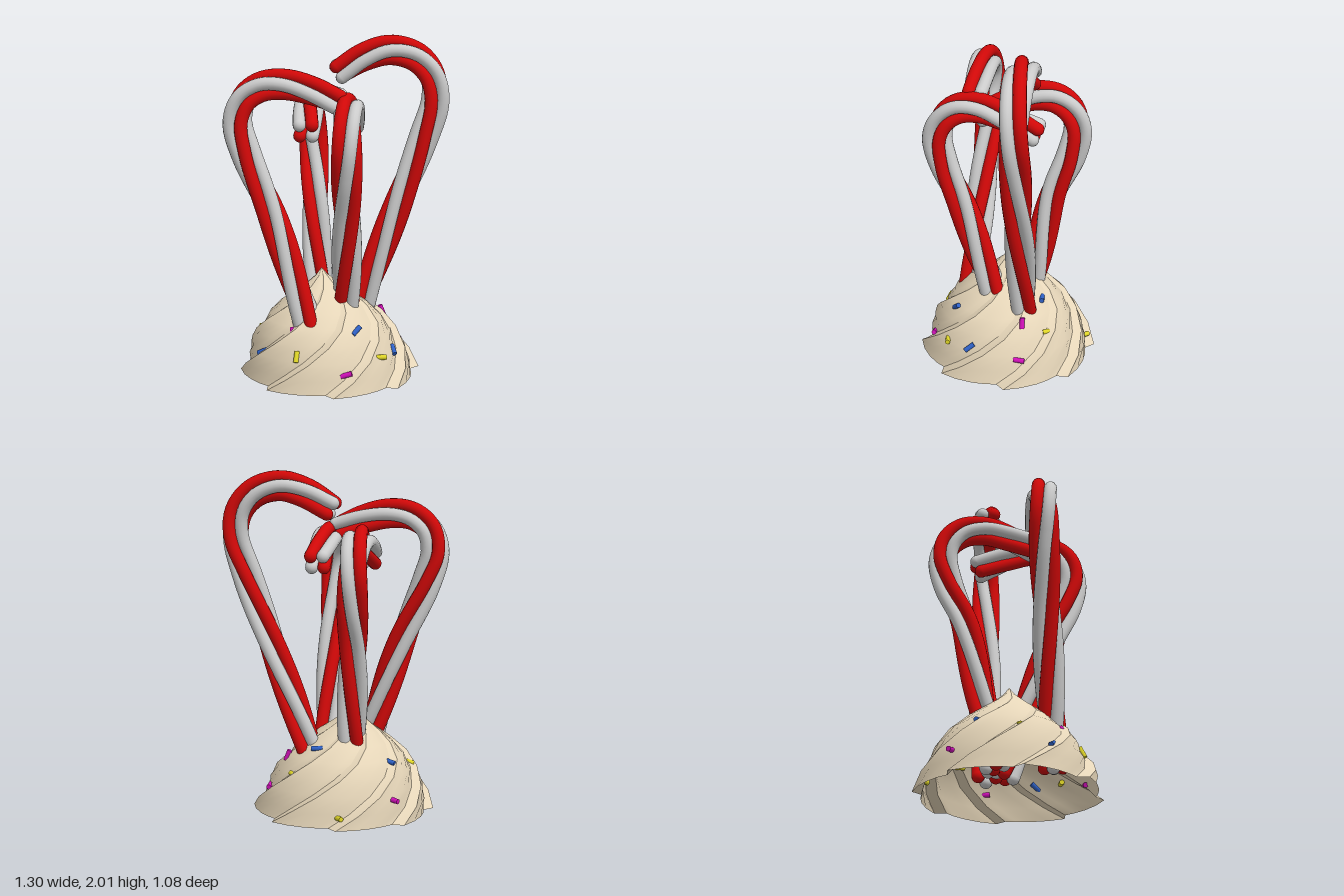
import * as THREE from 'three';
import { mergeGeometries } from 'three/addons/utils/BufferGeometryUtils.js';

const mat = (color, side = THREE.FrontSide) => new THREE.MeshStandardMaterial({ color, side });
const white = mat(0xcccccc), red = mat(0xd00808), cream = mat(0xe5d5b8, THREE.DoubleSide);
const sprinkleColors = { yellow: mat(0xe0d628), blue: mat(0x2f62c8), pink: mat(0xd010b8) };
const UP = new THREE.Vector3(0, 1, 0);

// Cream swirl: a dome of stepped petals that wind upwards
const PROFILE = [[0.51, 0], [0.488, 0.08], [0.45, 0.17], [0.4, 0.26], [0.34, 0.34],
  [0.255, 0.415], [0.175, 0.475], [0.1, 0.53], [0.035, 0.585], [0, 0.63]];
const PETALS = 8, PETAL_ANGLE = 2 * Math.PI / PETALS, TWIST = 3, PHASE = -0.1, STEP = 0.12;

function profileRadius(y) {
  for (let i = 1; i < PROFILE.length; i++) {
    const [r0, y0] = PROFILE[i - 1], [r1, y1] = PROFILE[i];
    if (y <= y1) return r0 + (r1 - r0) * (y - y0) / (y1 - y0);
  }
  return 0;
}

// Point on the cream; turn counts petals round the dome, f runs from a petal's low edge to its high edge
function creamPoint(turn, f, y) {
  const angle = turn * PETAL_ANGLE + PHASE - TWIST * y;
  const r = profileRadius(y) * (1 + (0.06 - 0.03 * y) * (2 * f - 1));
  return new THREE.Vector3(-0.05 - 0.08 * y + r * Math.cos(angle), y, r * Math.sin(angle));
}

// One strip up the dome through columns of [turn, f], from high turn to low
function creamStrip(columns) {
  const rows = PROFILE.length - 1, n = columns.length - 1;
  const g = new THREE.PlaneGeometry(1, 1, n, rows);
  const p = g.attributes.position;
  for (let i = 0; i < p.count; i++) {
    const y = PROFILE[Math.round((p.getY(i) + 0.5) * rows)][1];
    const [turn, f] = columns[Math.round((p.getX(i) + 0.5) * n)];
    const v = creamPoint(turn, f, y);
    p.setXYZ(i, v.x, v.y, v.z);
  }
  g.computeVertexNormals();
  return g;
}

function creamSwirl() {
  const strips = [];
  for (let k = 0; k < PETALS; k++) {
    // Broad petal face, then the short step down to the next petal
    strips.push(creamStrip([1, 0.75, 0.5, 0.3, STEP].map((f) => [k + f, f])));
    strips.push(creamStrip([[k + 1 + STEP, STEP], [k + 1, 1]]));
  }
  const mesh = new THREE.Mesh(mergeGeometries(strips), cream);
  mesh.name = 'creamSwirl';
  return mesh;
}

// Cane: four strands wound round a hooked path, listed from tip to foot
const STRAND_R = 0.038, OFFSET = 0.051, TURN = Math.PI * 1.78;

// hand is 1 or -1 and sets which way the strands wind
function cane(name, out, path, [sideTip, sideFoot], hand) {
  const group = new THREE.Group();
  group.name = name;
  const normal = new THREE.Vector3().crossVectors(out, UP);
  const curve = new THREE.CatmullRomCurve3(path.map(([d, y]) => {
    const s = y > 1.4 ? sideTip : sideFoot + (sideTip - sideFoot) * (y - 0.12) / 1.28;
    return out.clone().multiplyScalar(d).addScaledVector(normal, s).setY(y);
  }));
  const N = 48;
  for (let k = 0; k < 4; k++) {
    const pts = [];
    for (let i = 0; i <= N; i++) {
      const u = i / N;
      const a = Math.PI / 4 + k * Math.PI / 2 - u * TURN;
      const tangent = curve.getTangentAt(u);
      const outer = new THREE.Vector3().crossVectors(normal, tangent).normalize();
      const b = new THREE.Vector3().crossVectors(tangent, outer);
      pts.push(curve.getPointAt(u)
        .addScaledVector(outer, OFFSET * Math.cos(a))
        .addScaledVector(b, hand * OFFSET * Math.sin(a)));
    }
    const parts = [new THREE.TubeGeometry(new THREE.CatmullRomCurve3(pts), 72, STRAND_R, 14)];
    for (const end of [pts[0], pts[N]]) {
      parts.push(new THREE.SphereGeometry(STRAND_R, 14, 10).translate(end.x, end.y, end.z));
    }
    const isRed = k % 2 === 0;
    const mesh = new THREE.Mesh(mergeGeometries(parts), isRed ? red : white);
    mesh.name = isRed ? 'redStrand' : 'whiteStrand';
    group.add(mesh);
  }
  return group;
}

// Sprinkles: colour, position on the cream, lying direction
const SPRINKLES = [
  ['yellow', [-0.11, 0.06, -0.5], [0.7, 0, 0.7]],
  ['yellow', [0.22, 0.25, -0.3], [0.5, 0.1, 0.85]],
  ['blue', [0.08, 0.4, -0.25], [1, 0, -0.1]],
  ['pink', [-0.41, 0.14, -0.33], [0.85, 0.1, 0.5]],
  ['blue', [-0.37, 0.33, -0.19], [0.95, 0.2, 0.3]],
  ['yellow', [-0.43, 0.28, 0.04], [1, 0.3, -0.15]],
  ['blue', [-0.47, 0.17, 0.24], [0.8, 0.4, 0.3]],
  ['pink', [-0.255, 0.31, 0.3], [0, 1, -0.8]],
  ['yellow', [-0.22, 0.2, 0.4], [0.1, 1, -0.5]],
  ['pink', [0.08, 0.11, 0.47], [0.95, 0.3, 0]],
  ['yellow', [0.28, 0.18, 0.33], [1, 0, -0.1]],
  ['blue', [0.35, 0.18, 0.18], [0.3, -0.6, 0.8]],
  ['blue', [0.15, 0.33, 0.33], [0.6, 0.6, -0.5]],
  ['pink', [0.38, 0.33, -0.18], [-0.4, 1, 0]],
  ['pink', [0.44, 0.14, -0.15], [0, 0.1, 1]],
];

function sprinkle([color, [x, y, z], dir]) {
  const mesh = new THREE.Mesh(new THREE.CylinderGeometry(0.015, 0.015, 0.066, 10), sprinkleColors[color]);
  mesh.name = color + 'Sprinkle';
  const angle = Math.atan2(z, x + 0.05 + 0.08 * y);
  const turn = (angle - PHASE + TWIST * y) / PETAL_ANGLE;
  mesh.position.copy(creamPoint(turn, turn - Math.floor(turn), y));
  mesh.quaternion.setFromUnitVectors(UP, new THREE.Vector3(...dir).normalize());
  return mesh;
}

export function createModel() {
  const model = new THREE.Group();
  model.name = 'caneDessert';
  model.add(creamSwirl());

  const V = (x, z) => new THREE.Vector3(x, 0, z);
  // Each path holds [distance outwards, height]
  model.add(cane('tallCane', V(1, 0), [[0, 1.79], [0.15, 1.878], [0.3, 1.918], [0.45, 1.878],
    [0.545, 1.77], [0.565, 1.62], [0.5, 1.4], [0.355, 1.0], [0.17, 0.48], [0.07, 0.15]], [-0.125, -0.12], 1));
  model.add(cane('frontLeaningCane', V(-1, 0), [[-0.01, 1.655], [0.14, 1.715], [0.3, 1.75], [0.43, 1.735],
    [0.53, 1.66], [0.567, 1.53], [0.52, 1.35], [0.375, 1.0], [0.195, 0.45], [0.1, 0.15]], [-0.18, -0.25], -1));
  const shortHook = [[-0.18, 1.485], [0, 1.565], [0.14, 1.613], [0.27, 1.603], [0.36, 1.53],
    [0.395, 1.42], [0.36, 1.25], [0.26, 1.0]];
  model.add(cane('frontCane', V(0, 1), [...shortHook, [0.08, 0.45], [-0.02, 0.15]], [-0.07, -0.05], -1));
  model.add(cane('backCane', V(0, -1), [...shortHook, [0.15, 0.45], [0.08, 0.15]], [-0.175, -0.11], 1));

  const sprinkles = new THREE.Group();
  sprinkles.name = 'sprinkles';
  SPRINKLES.forEach((s) => sprinkles.add(sprinkle(s)));
  model.add(sprinkles);
  return model;
}
